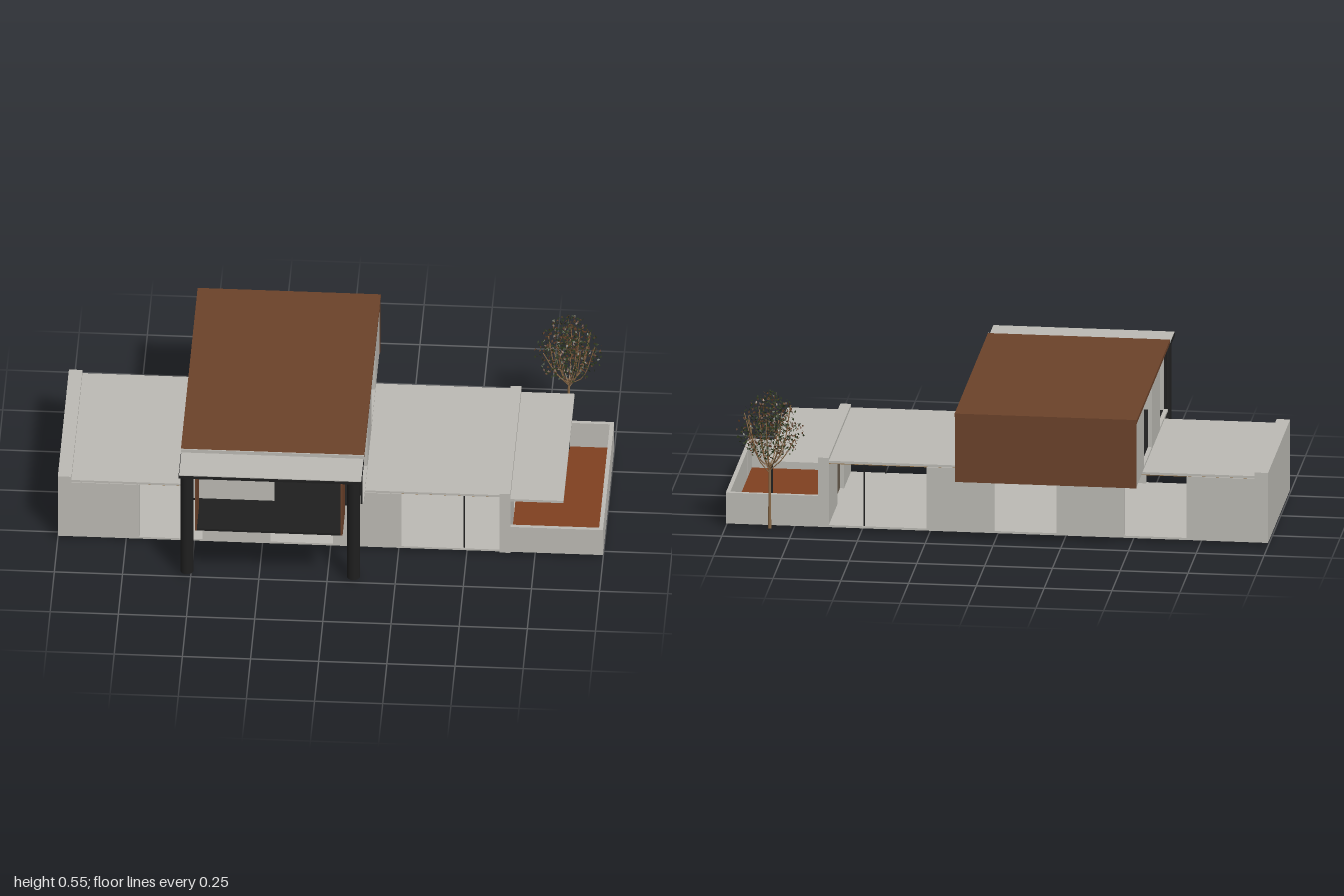
import * as THREE from 'three';
import { mergeGeometries } from 'three/addons/utils/BufferGeometryUtils.js';

const mat = (name, color, extra = {}) => {
  const m = new THREE.MeshStandardMaterial({ color, ...extra });
  m.name = name;
  return m;
};

export function createModel() {
  const concrete = mat('concrete', 0xbcbab4);
  const rust = mat('rust cladding', 0x6b422a);
  const deckWood = mat('deck wood', 0x804020);
  const black = mat('black steel', 0x1f1f1f);
  const ceilingWood = mat('ceiling wood', 0x9a7a50);
  const doorWood = mat('door wood', 0x695d4e);
  const bark = mat('bark', 0x8a6a48);
  const leafGreen = mat('green leaf', 0x2e3a1e, { side: THREE.DoubleSide });
  const leafBrown = mat('brown leaf', 0x5c3c26, { side: THREE.DoubleSide });

  const model = new THREE.Group();
  const add = (parent, name, geometry, material) => {
    const mesh = new THREE.Mesh(geometry, material);
    mesh.name = name;
    parent.add(mesh);
    return mesh;
  };
  // Box given by its lower and upper limits on each axis
  const box = (parent, name, m, x0, x1, y0, y1, z0, z1) => {
    const g = new THREE.BoxGeometry(x1 - x0, y1 - y0, z1 - z0);
    g.translate((x0 + x1) / 2, (y0 + y1) / 2, (z0 + z1) / 2);
    return add(parent, name, g, m);
  };
  const group = (name) => {
    const g = new THREE.Group();
    g.name = name;
    model.add(g);
    return g;
  };

  // Ground floor: slab, alternating wall panels and openings, roof
  const ground = group('groundFloor');
  box(ground, 'floorSlab', concrete, -1, 1, 0.012, 0.02, -0.38, 0.29);
  for (const [z0, z1] of [[0.275, 0.29], [-0.38, -0.365]]) {
    for (const [x0, x1] of [[-0.95, -0.7], [-0.47, -0.22], [0.01, 0.26]])
      box(ground, 'wallPanel', concrete, x0, x1, 0.02, 0.255, z0, z1);
    box(ground, 'windowMullion', black, 0.488, 0.493, 0.02, 0.255, z0 + 0.004, z1 - 0.004);
  }
  box(ground, 'endWall', concrete, -1, -0.95, 0.012, 0.28, -0.38, 0.29);
  box(ground, 'roofSlab', concrete, -0.95, 0.62, 0.257, 0.266, -0.38, 0.29);
  box(ground, 'woodCeiling', ceilingWood, -0.95, 0.62, 0.253, 0.257, -0.375, 0.285);

  // Cross wall with doorway, sliding door and lamp rail
  box(ground, 'crossWallFront', concrete, 0.62, 0.66, 0.012, 0.277, 0.08, 0.297);
  box(ground, 'crossWallBack', concrete, 0.62, 0.66, 0.012, 0.277, -0.38, -0.12);
  box(ground, 'crossWallLintel', concrete, 0.62, 0.66, 0.238, 0.277, -0.12, 0.08);
  box(ground, 'slidingDoor', doorWood, 0.635, 0.643, 0.02, 0.238, -0.025, 0.08);
  box(ground, 'lampRail', black, 0.648, 0.654, 0.235, 0.238, -0.12, 0.08);
  for (const z of [0.055, 0, -0.045])
    box(ground, 'lamp', black, 0.649, 0.654, 0.218, 0.235, z - 0.002, z + 0.002);

  // Terrace: deck, low walls with slots, canopy on a slim post
  const terrace = group('terrace');
  box(terrace, 'deck', deckWood, 0.66, 0.985, 0.02, 0.024, -0.365, 0.285);
  box(terrace, 'lowWallFront', concrete, 0.66, 1, 0.02, 0.13, 0.283, 0.298);
  box(terrace, 'lowWallBack', concrete, 0.66, 1, 0.02, 0.13, -0.38, -0.365);
  box(terrace, 'lowWallBase', concrete, 0.985, 1, 0.02, 0.035, -0.365, 0.283);
  box(terrace, 'lowWallCap', concrete, 0.985, 1, 0.125, 0.13, -0.365, 0.283);
  const slots = [-0.19, -0.024, 0.143];
  const edges = [-0.365, ...slots.flatMap((z) => [z - 0.003, z + 0.003]), 0.283];
  for (let i = 0; i < edges.length; i += 2)
    box(terrace, 'lowWallPanel', concrete, 0.985, 1, 0.035, 0.125, edges[i], edges[i + 1]);
  box(terrace, 'terraceCanopy', concrete, 0.66, 0.855, 0.245, 0.255, -0.375, 0.297);
  const post = new THREE.CylinderGeometry(0.005, 0.005, 0.245, 12);
  add(terrace, 'canopyPost', post, black).position.set(0.835, 0.1225, -0.35);

  // Upper floor: black floor, side panels with openings, back wall, roof
  const upper = group('upperFloor');
  box(upper, 'upperFloorSlab', black, -0.525, 0.115, 0.264, 0.273, -0.565, 0.385);
  for (const [x0, x1] of [[-0.537, -0.522], [0.112, 0.127]]) {
    for (const [z0, z1] of [[-0.095, 0.15], [-0.568, -0.33]])
      box(upper, 'upperSidePanel', concrete, x0, x1, 0.264, 0.512, z0, z1);
    box(upper, 'upperSill', concrete, x0, x1, 0.264, 0.274, -0.568, 0.385);
    box(upper, 'cornerMullion', black, x0 + 0.004, x1 - 0.004, 0.274, 0.512, 0.381, 0.386);
  }
  box(upper, 'upperBackWall', rust, -0.538, 0.13, 0.264, 0.513, -0.578, -0.568);
  box(upper, 'upperFrontPanel', concrete, -0.522, -0.2, 0.273, 0.512, 0.372, 0.385);
  box(upper, 'upperRoof', rust, -0.54, 0.132, 0.512, 0.526, -0.578, 0.43);
  box(upper, 'roofFascia', concrete, -0.54, 0.132, 0.512, 0.526, 0.43, 0.434);

  // Balcony: floor, side screens, canopy on two round columns
  const balcony = group('balcony');
  box(balcony, 'balconyFloor', black, -0.48, 0.06, 0.264, 0.273, 0.385, 0.575);
  for (const x of [-0.48, 0.055])
    box(balcony, 'balconyScreen', rust, x, x + 0.007, 0.266, 0.498, 0.436, 0.578);
  box(balcony, 'balconyCanopy', black, -0.54, 0.132, 0.497, 0.509, 0.434, 0.577);
  box(balcony, 'canopyTop', concrete, -0.538, 0.13, 0.509, 0.512, 0.434, 0.576);
  for (const x of [-0.515, 0.096]) {
    const column = new THREE.CylinderGeometry(0.024, 0.024, 0.487, 32);
    add(balcony, 'column', column, black).position.set(x, 0.2555, 0.478);
  }

  // Tree: trunk, curved branches and small scattered leaves
  const tree = group('tree');
  tree.position.set(0.83, 0, -0.445);
  let seed = 7;
  const rand = () => (seed = (seed * 16807) % 2147483647) / 2147483647;
  add(tree, 'trunk', new THREE.CylinderGeometry(0.004, 0.006, 0.25, 8).translate(0, 0.145, 0), bark);

  const branches = [];
  for (let i = 0; i < 14; i++) {
    const a = i * 2.4, reach = 0.04 + 0.07 * rand(), top = 0.33 + 0.17 * rand();
    const p = (r, y) => new THREE.Vector3(Math.cos(a) * r, y, Math.sin(a) * r);
    const curve = new THREE.CatmullRomCurve3([p(0, 0.23 + 0.03 * rand()), p(reach * 0.5, 0.29), p(reach, top)]);
    branches.push(new THREE.TubeGeometry(curve, 8, 0.002, 5));
  }
  add(tree, 'branches', mergeGeometries(branches), bark);

  const leaves = [[], []];
  for (let i = 0; i < 1100; i++) {
    const a = rand() * Math.PI * 2, c = rand() * 2 - 1, s = Math.sqrt(1 - c * c);
    const r = Math.pow(rand(), 0.45);
    const narrow = c > 0 ? 1 - 0.35 * c : 1;
    const leaf = new THREE.CircleGeometry(0.0065, 4).scale(1, 0.6, 1);
    leaf.rotateX(rand() * 6.28).rotateY(rand() * 6.28).rotateZ(rand() * 6.28);
    leaf.translate(
      Math.cos(a) * s * r * 0.128 * narrow,
      0.405 + c * r * (c > 0 ? 0.145 : 0.12),
      Math.sin(a) * s * r * 0.128 * narrow
    );
    leaves[i % 5 < 3 ? 0 : 1].push(leaf);
  }
  add(tree, 'greenLeaves', mergeGeometries(leaves[0]), leafGreen);
  add(tree, 'brownLeaves', mergeGeometries(leaves[1]), leafBrown);

  return model;
}
